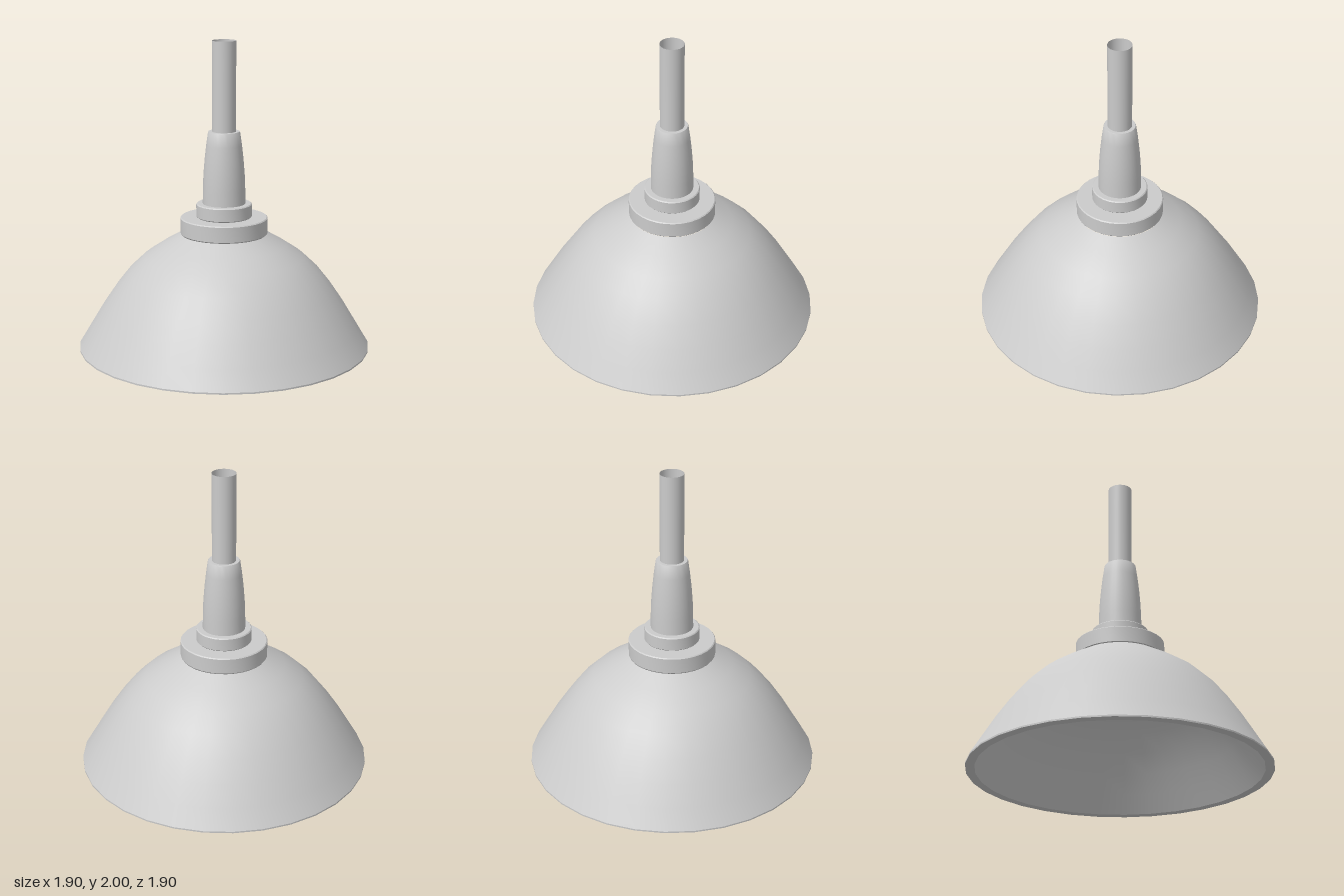
import * as THREE from 'three';
import { toCreasedNormals } from 'three/addons/utils/BufferGeometryUtils.js';

const SIDES = 32;
const TUBE_R = 0.077;

// Spins a closed [radius, height] profile (outside upwards, inside downwards).
function turned(name, profile) {
  const points = [...profile, profile[0]].map(([r, y]) => new THREE.Vector2(r, y));
  const geometry = toCreasedNormals(new THREE.LatheGeometry(points, SIDES), 0.5);
  const material = new THREE.MeshStandardMaterial({ color: 0xcccccc, side: THREE.DoubleSide });
  const mesh = new THREE.Mesh(geometry, material);
  mesh.name = name;
  return mesh;
}

// Flat ring with slightly bevelled outer edges and a bore for the tube.
function collar(name, radius, bottom, top) {
  const b = 0.006;
  return turned(name, [
    [TUBE_R, bottom], [radius - b, bottom], [radius, bottom + b],
    [radius, top - b], [radius - b, top], [TUBE_R, top],
  ]);
}

export function createModel() {
  const group = new THREE.Group();
  group.name = 'pendantLamp';

  // Flared shade with a thick rim
  group.add(turned('shade', [
    [0.95, 0], [0.95, 0.01], [0.875, 0.135], [0.8, 0.26], [0.715, 0.385],
    [0.625, 0.5], [0.52, 0.6], [0.4, 0.68], [0.28, 0.75],
    [0.25, 0.705], [0.37, 0.635], [0.485, 0.56], [0.58, 0.465],
    [0.67, 0.355], [0.75, 0.235], [0.825, 0.115], [0.893, 0],
  ]));

  // Stepped collars above the shade
  group.add(collar('lowerCollar', 0.283, 0.75, 0.86));
  group.add(collar('upperCollar', 0.18, 0.86, 0.95));

  // Tapered sleeve around the tube
  group.add(turned('sleeve', [
    [TUBE_R, 0.95], [0.138, 0.95], [0.137, 1.04], [0.133, 1.14],
    [0.125, 1.24], [0.115, 1.33], [0.103, 1.415], [0.1, 1.42], [TUBE_R, 1.42],
  ]));

  // Open hanging tube
  const tube = new THREE.Mesh(
    new THREE.CylinderGeometry(TUBE_R, TUBE_R, 0.6, SIDES, 1, true),
    new THREE.MeshStandardMaterial({ color: 0xcccccc, side: THREE.DoubleSide }),
  );
  tube.name = 'tube';
  tube.position.y = 1.7;
  group.add(tube);

  return group;
}
